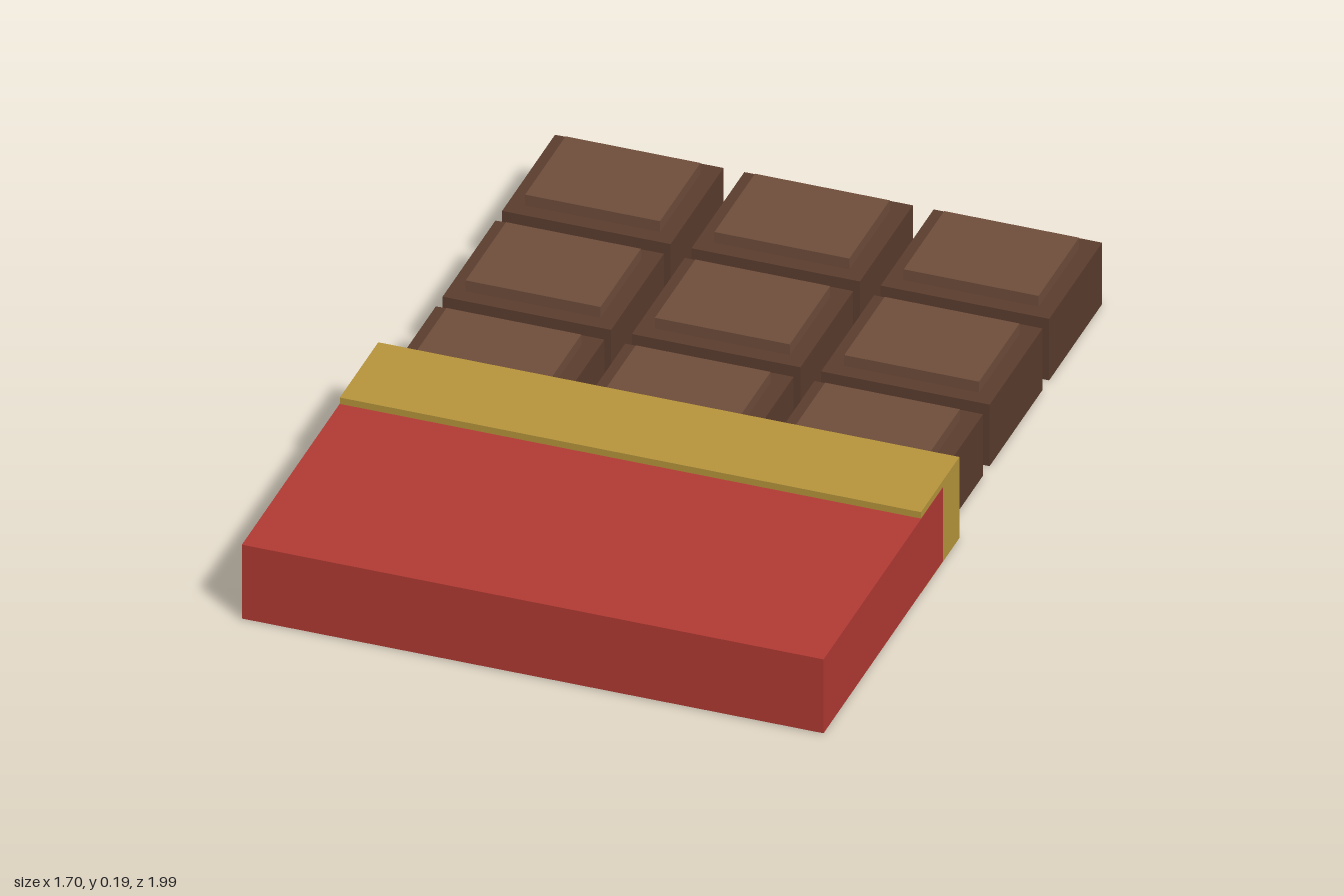
import * as THREE from 'three';

const mat = (color) => new THREE.MeshStandardMaterial({ color, flatShading: true });

// Box given by its size, floor height and centre on the ground plane
function block(name, material, w, h, d, x, y0, z) {
  const mesh = new THREE.Mesh(new THREE.BoxGeometry(w, h, d), material);
  mesh.name = name;
  mesh.position.set(x, y0 + h / 2, z);
  return mesh;
}

export function createModel() {
  const model = new THREE.Group();
  model.name = 'chocolateBar';
  const darkChocolate = mat(0x5c3d2e);
  const milkChocolate = mat(0x704e3b);
  const red = mat(0xb33a34);
  const gold = mat(0xb8963c);

  // The whole bar lies turned on the ground
  const bar = new THREE.Group();
  bar.name = 'bar';
  bar.rotation.y = -THREE.MathUtils.degToRad(20);
  model.add(bar);

  // Chocolate pieces: 3 columns, 4 rows, the last row inside the wrapper
  const cx = 0.011;
  for (let row = 0; row < 4; row++) {
    for (let col = 0; col < 3; col++) {
      const piece = new THREE.Group();
      piece.name = `piece_${row}_${col}`;
      piece.position.set(cx + (col - 1) * 0.4, 0, -0.707 + row * 0.34);
      piece.add(
        block('pieceBase', darkChocolate, 0.356, 0.144, 0.302, 0, 0.001, 0),
        block('pieceTop', milkChocolate, 0.285, 0.025, 0.231, 0, 0.145, 0)
      );
      bar.add(piece);
    }
  }

  // Paper wrapper and the foil band at its opening
  bar.add(block('wrapper', red, 1.229, 0.173, 0.681, cx, 0.002, 0.4905));
  bar.add(block('foilBand', gold, 1.228, 0.19, 0.219, cx, 0, 0.1635));

  return model;
}
